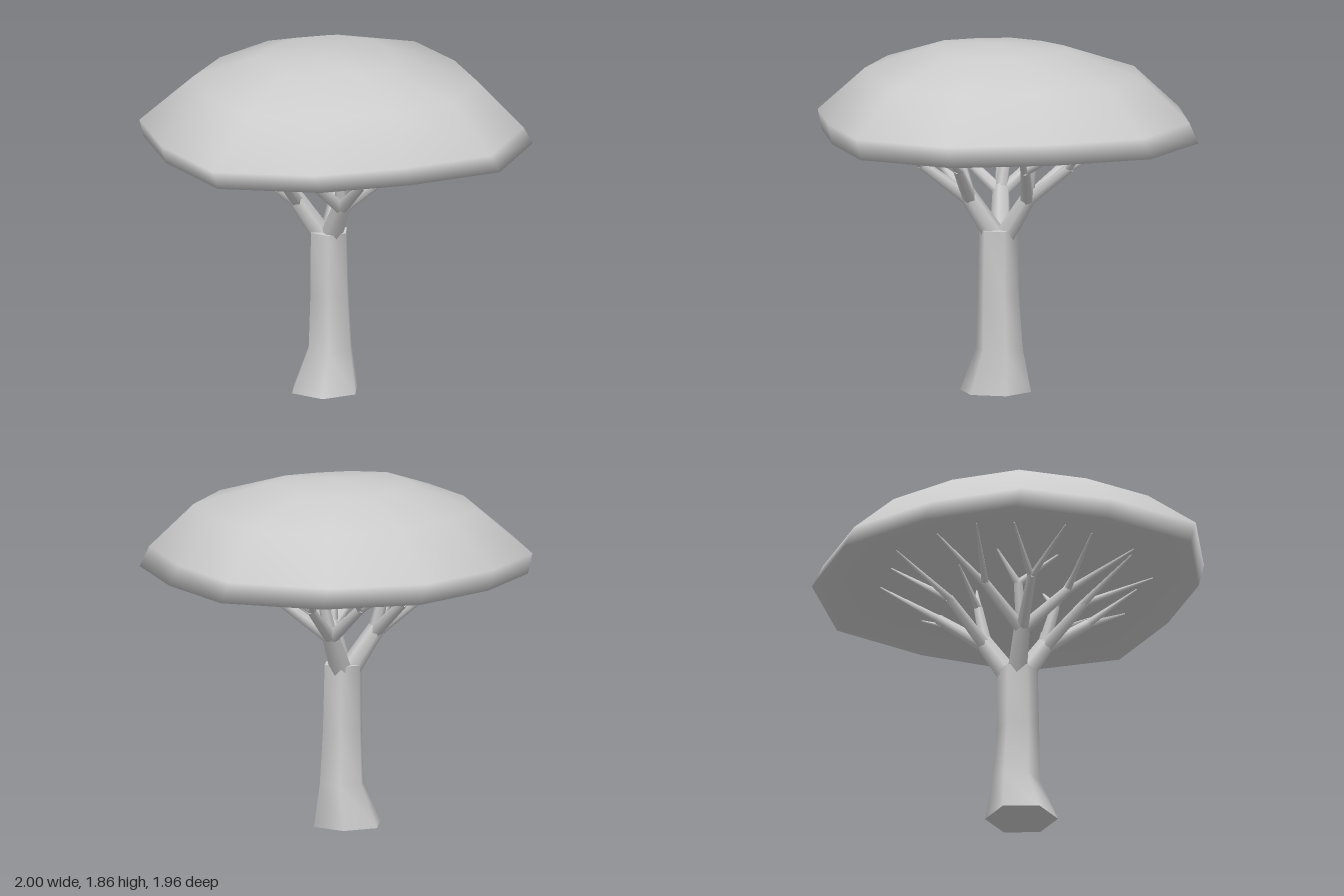
import * as THREE from 'three';
import { toCreasedNormals } from 'three/addons/utils/BufferGeometryUtils.js';

const material = new THREE.MeshStandardMaterial({ color: 0xcccccc, side: THREE.DoubleSide });

// Skin rings of points, listed from top to bottom, closed by a point at each end
function loft(top, rings, bottom) {
  const n = rings[0].length;
  const positions = [top, ...rings.flat(), bottom].flat();
  const last = rings.length * n + 1;
  const index = [];
  const at = (r, j) => 1 + r * n + (j % n);
  for (let j = 0; j < n; j++) {
    index.push(0, at(0, j + 1), at(0, j));
    for (let r = 0; r < rings.length - 1; r++) {
      index.push(at(r, j), at(r, j + 1), at(r + 1, j));
      index.push(at(r, j + 1), at(r + 1, j + 1), at(r + 1, j));
    }
    index.push(last, at(rings.length - 1, j), at(rings.length - 1, j + 1));
  }
  const geometry = new THREE.BufferGeometry();
  geometry.setAttribute('position', new THREE.Float32BufferAttribute(positions, 3));
  geometry.setIndex(index);
  geometry.computeVertexNormals();
  return geometry;
}

function addMesh(parent, name, geometry) {
  const mesh = new THREE.Mesh(geometry, material);
  mesh.name = name;
  parent.add(mesh);
  return mesh;
}

// Flat-topped crown: one uneven outline, scaled and shifted per level
function createCanopy() {
  const outline = [
    [1, 0.04], [0.92, 0.6], [0.53, 0.99], [0, 0.99], [-0.5, 0.9], [-0.96, 0.59],
    [-1, 0.05], [-0.89, -0.45], [-0.5, -0.79], [0, -1], [0.53, -0.9], [0.95, -0.51],
  ];
  // scale, x shift, z shift, height
  const levels = [
    [0.35, -0.02, 0.04, 1.825],
    [0.72, 0, 0.03, 1.7],
    [0.967, -0.033, 0.02, 1.465],
    [0.98, 0.015, 0, 1.365],
    [0.8, 0, 0, 1.42],
  ];
  const rings = levels.map(([s, dx, dz, y]) =>
    outline.map(([x, z]) => [x * s + dx, y, z * s + dz]));
  return loft([-0.02, 1.855, 0.06], rings, [0, 1.45, 0]);
}

// Six-sided trunk with a flared foot
function createTrunk() {
  // centre x, centre z, radius, height
  const levels = [
    [-0.012, 0.05, 0.106, 0.865],
    [-0.01, 0.053, 0.112, 0.52],
    [-0.003, 0.047, 0.126, 0.23],
    [-0.04, 0.058, 0.192, 0],
  ];
  const rings = levels.map(([cx, cz, r, y]) =>
    Array.from({ length: 6 }, (_, i) => {
      const a = (i * Math.PI) / 3;
      return [cx + r * Math.cos(a), y, cz + r * Math.sin(a)];
    }));
  return toCreasedNormals(loft([-0.012, 0.87, 0.05], rings, [-0.04, 0, 0.058]), 1.2);
}

// Tapered six-sided stick from one point to another
function addBranch(parent, name, from, to, r0, r1) {
  const dir = to.clone().sub(from);
  const mesh = addMesh(parent, name, new THREE.CylinderGeometry(r1, r0, dir.length(), 6));
  mesh.position.copy(from).add(to).multiplyScalar(0.5);
  mesh.quaternion.setFromUnitVectors(new THREE.Vector3(0, 1, 0), dir.normalize());
}

// Point at an angle, radius and height around the trunk axis
function around(degrees, radius, y) {
  const a = THREE.MathUtils.degToRad(degrees);
  return new THREE.Vector3(radius * Math.cos(a) - 0.01, y, radius * Math.sin(a) + 0.04);
}

// Three limbs, each forking into boughs, each bough into pointed twigs
function createBranches() {
  const group = new THREE.Group();
  group.name = 'branches';
  [-42, 92, 198].forEach((angle) => {
    const fork = around(angle, 0.18, 1.06);
    addBranch(group, 'limb', around(angle, 0.035, 0.84), fork, 0.058, 0.046);
    [-38, 0, 38].forEach((spread, k) => {
      const heading = angle + spread;
      const reach = k === 1 ? 0.43 : 0.37;
      const joint = around(heading, reach, 1.23);
      addBranch(group, 'bough', around(angle, 0.165, 1.03), joint, 0.037, 0.026);
      const base = around(heading, reach - 0.015, 1.22);
      addBranch(group, 'twig', base, around(heading - 10, 0.72, 1.4), 0.022, 0.004);
      addBranch(group, 'twig', base, around(heading + 12, 0.66, 1.42), 0.022, 0.004);
    });
    // Steeper inner shoots
    const shoot = around(angle + 8, 0.22, 1.27);
    addBranch(group, 'innerBough', around(angle, 0.165, 1.04), shoot, 0.036, 0.026);
    [-35, 30].forEach((turn) =>
      addBranch(group, 'twig', shoot, around(angle + turn, 0.31, 1.44), 0.022, 0.005));
  });
  return group;
}

export function createModel() {
  const model = new THREE.Group();
  model.name = 'tree';
  addMesh(model, 'canopy', createCanopy());
  addMesh(model, 'trunk', createTrunk());
  model.add(createBranches());
  return model;
}
